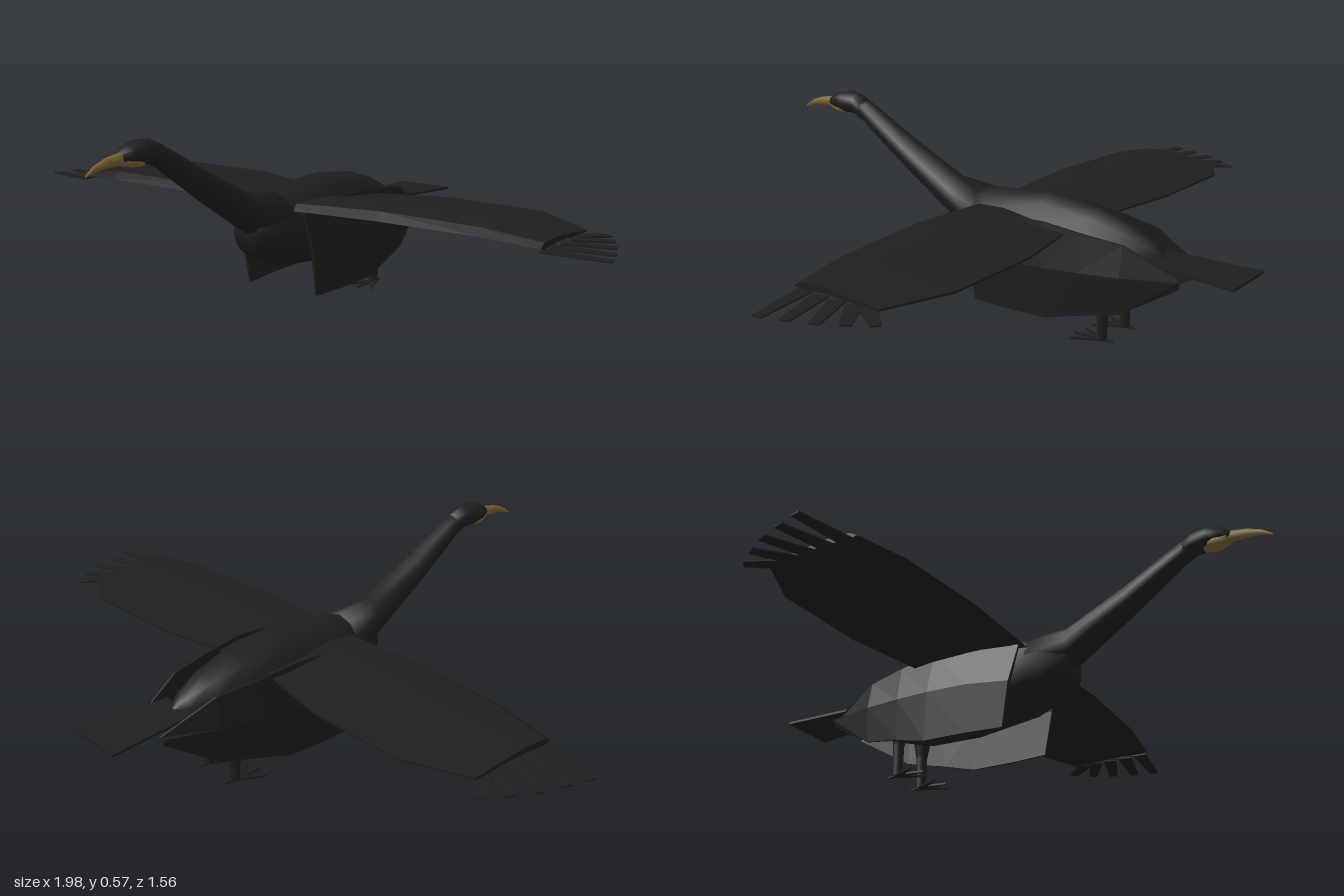
import * as THREE from 'three';

const plumage = new THREE.MeshStandardMaterial({ color: 0x1e1e1e });
plumage.name = 'black plumage';
const horn = new THREE.MeshStandardMaterial({ color: 0x7a6236 });
horn.name = 'horn beak';

// Skin a closed solid over rings of [x, y, z] points, always wound outwards
function loft(rings, flat = false) {
  const n = rings[0].length;
  const points = rings.flat();
  const faces = [];
  for (let i = 0; i < rings.length - 1; i++) {
    for (let j = 0; j < n; j++) {
      const a = i * n + j, b = i * n + (j + 1) % n;
      faces.push([a, b, a + n], [b, b + n, a + n]);
    }
  }
  const centre = ring => [0, 1, 2].map(k => ring.reduce((s, p) => s + p[k], 0) / n);
  const last = (rings.length - 1) * n;
  const c0 = points.push(centre(rings[0])) - 1;
  const c1 = points.push(centre(rings[rings.length - 1])) - 1;
  for (let j = 0; j < n; j++) {
    const k = (j + 1) % n;
    faces.push([c0, k, j], [c1, last + j, last + k]);
  }
  const v = points.map(p => new THREE.Vector3(...p));
  const volume = faces.reduce((s, [a, b, c]) => s + v[a].dot(v[b].clone().cross(v[c])), 0);
  if (volume < 0) faces.forEach(f => f.reverse());
  let geometry = new THREE.BufferGeometry().setFromPoints(v);
  geometry.setIndex(faces.flat());
  if (flat) geometry = geometry.toNonIndexed();
  geometry.computeVertexNormals();
  return geometry;
}

// Oval cross-sections given as [z, top, bottom, halfWidth]
function ovals(sections, sides = 12) {
  return loft(sections.map(([z, top, bottom, w]) =>
    Array.from({ length: sides }, (_, i) => {
      const a = (i / sides) * Math.PI * 2;
      return [Math.sin(a) * w, (top + bottom) / 2 + Math.cos(a) * (top - bottom) / 2, z];
    })));
}

// Thin tapered blade between two points, lying flat
function blade(from, to, w0, w1, thickness) {
  const dx = to[0] - from[0], dz = to[2] - from[2];
  const length = Math.hypot(dx, dz), h = thickness / 2;
  const ring = ([x, y, z], w) => [[1, 1], [1, -1], [-1, -1], [-1, 1]].map(([u, t]) =>
    [x - dz / length * w * u, y + h * t, z + dx / length * w * u]);
  return loft([ring(from, w0), ring(to, w1)], true);
}

export function createModel() {
  const model = new THREE.Group();
  model.name = 'bird';
  const add = (parent, name, geometry, material = plumage) => {
    const mesh = new THREE.Mesh(geometry, material);
    mesh.name = name;
    parent.add(mesh);
    return mesh;
  };

  add(model, 'body', ovals([
    [0.17, 0.31, 0.19, 0.05], [0.10, 0.345, 0.155, 0.085], [0.03, 0.36, 0.13, 0.105],
    [-0.17, 0.376, 0.105, 0.112], [-0.33, 0.355, 0.11, 0.104],
    [-0.43, 0.325, 0.14, 0.08], [-0.50, 0.29, 0.18, 0.045], [-0.535, 0.26, 0.21, 0.012],
  ]));
  add(model, 'neck', ovals([
    [0.06, 0.355, 0.2, 0.09], [0.17, 0.37, 0.25, 0.058], [0.35, 0.458, 0.365, 0.045],
    [0.49, 0.535, 0.46, 0.034], [0.54, 0.56, 0.495, 0.028], [0.57, 0.565, 0.51, 0.022],
  ]));
  add(model, 'head', ovals([
    [0.52, 0.552, 0.48, 0.028], [0.56, 0.569, 0.504, 0.034], [0.60, 0.572, 0.506, 0.041],
    [0.635, 0.563, 0.512, 0.034], [0.665, 0.547, 0.52, 0.016],
  ]));
  add(model, 'beak', ovals([
    [0.635, 0.55, 0.512, 0.018], [0.67, 0.546, 0.513, 0.015], [0.71, 0.54, 0.513, 0.011],
    [0.75, 0.526, 0.508, 0.007], [0.78, 0.506, 0.5, 0.002],
  ], 8), horn);
  add(model, 'throat', ovals([
    [0.585, 0.525, 0.504, 0.02], [0.62, 0.532, 0.503, 0.034], [0.655, 0.535, 0.51, 0.022],
  ], 8), horn);
  add(model, 'tail', blade([0, 0.252, -0.51], [0, 0.242, -0.78], 0.062, 0.089, 0.007));

  for (const s of [1, -1]) {
    const side = s > 0 ? 'left' : 'right';

    // Spread wing: rows of [x, leading z, trailing z, top, bottom]
    const wing = new THREE.Group();
    wing.name = side + 'Wing';
    model.add(wing);
    add(wing, 'wingPlane', loft([
      [0.05, 0.062, -0.27, 0.326, 0.298], [0.13, 0.062, -0.29, 0.33, 0.302],
      [0.35, 0.062, -0.34, 0.34, 0.309], [0.65, 0.045, -0.34, 0.335, 0.307],
      [0.82, 0.02, -0.25, 0.316, 0.294],
    ].map(([x, lead, trail, top, bottom]) => {
      const chord = lead - trail;
      return [[lead, bottom + 0.006], [lead - 0.08 * chord, top - 0.004], [lead - 0.35 * chord, top],
        [trail, bottom + 0.006], [trail, bottom], [lead - 0.35 * chord, bottom + 0.006],
        [lead - 0.08 * chord, bottom]].map(([z, y]) => [s * x, y, z]);
    }), true));

    // Fingered flight feathers just below the wing tip: [root z, tip x, tip z]
    [[-0.005, 0.99, -0.03], [-0.06, 0.97, -0.097], [-0.115, 0.945, -0.167],
      [-0.168, 0.91, -0.23], [-0.212, 0.87, -0.287]].forEach(([z0, x1, z1], i) =>
      add(wing, 'flightFeather' + (i + 1),
        blade([s * 0.812, 0.289, z0], [s * x1, 0.284, z1], 0.022, 0.014, 0.004)));

    // Flank plate bowed around the body: [front z, top y, rear-shifted z, bottom y, x]
    add(model, side + 'FlankPlate', loft([
      [0.055, 0.3, 0.01, 0.055, 0.125], [-0.1, 0.325, -0.1, 0.057, 0.136],
      [-0.22, 0.33, -0.24, 0.06, 0.138], [-0.34, 0.315, -0.34, 0.085, 0.128],
      [-0.46, 0.3, -0.46, 0.11, 0.109], [-0.615, 0.222, -0.615, 0.202, 0.072],
    ].map(([zt, top, zb, bottom, x]) => {
      const mid = (top + bottom) / 2 + 0.01, zm = (zt + zb) / 2;
      return [[x - 0.012, top, zt], [x + 0.007, mid, zm], [x, bottom, zb],
        [x - 0.006, bottom, zb], [x - 0.001, mid, zm], [x - 0.018, top, zt]]
        .map(([px, y, z]) => [s * px, y, z]);
    }), true));

    // Leg and toes
    const leg = new THREE.Group();
    leg.name = side + 'Leg';
    leg.position.set(s * 0.06, 0, -0.38);
    model.add(leg);
    add(leg, 'thigh', new THREE.CylinderGeometry(0.036, 0.017, 0.11, 8)).position.y = 0.155;
    add(leg, 'shank', new THREE.CylinderGeometry(0.017, 0.014, 0.12, 8)).position.y = 0.063;
    for (const a of [-0.5, 0, 0.5]) {
      add(leg, 'toe', blade([0, 0.005, 0], [Math.sin(a) * 0.09, 0.003, Math.cos(a) * 0.09],
        0.011, 0.002, 0.005));
    }
    add(leg, 'hindToe', blade([0, 0.005, 0], [0, 0.003, -0.035], 0.008, 0.002, 0.005));
  }
  return model;
}
